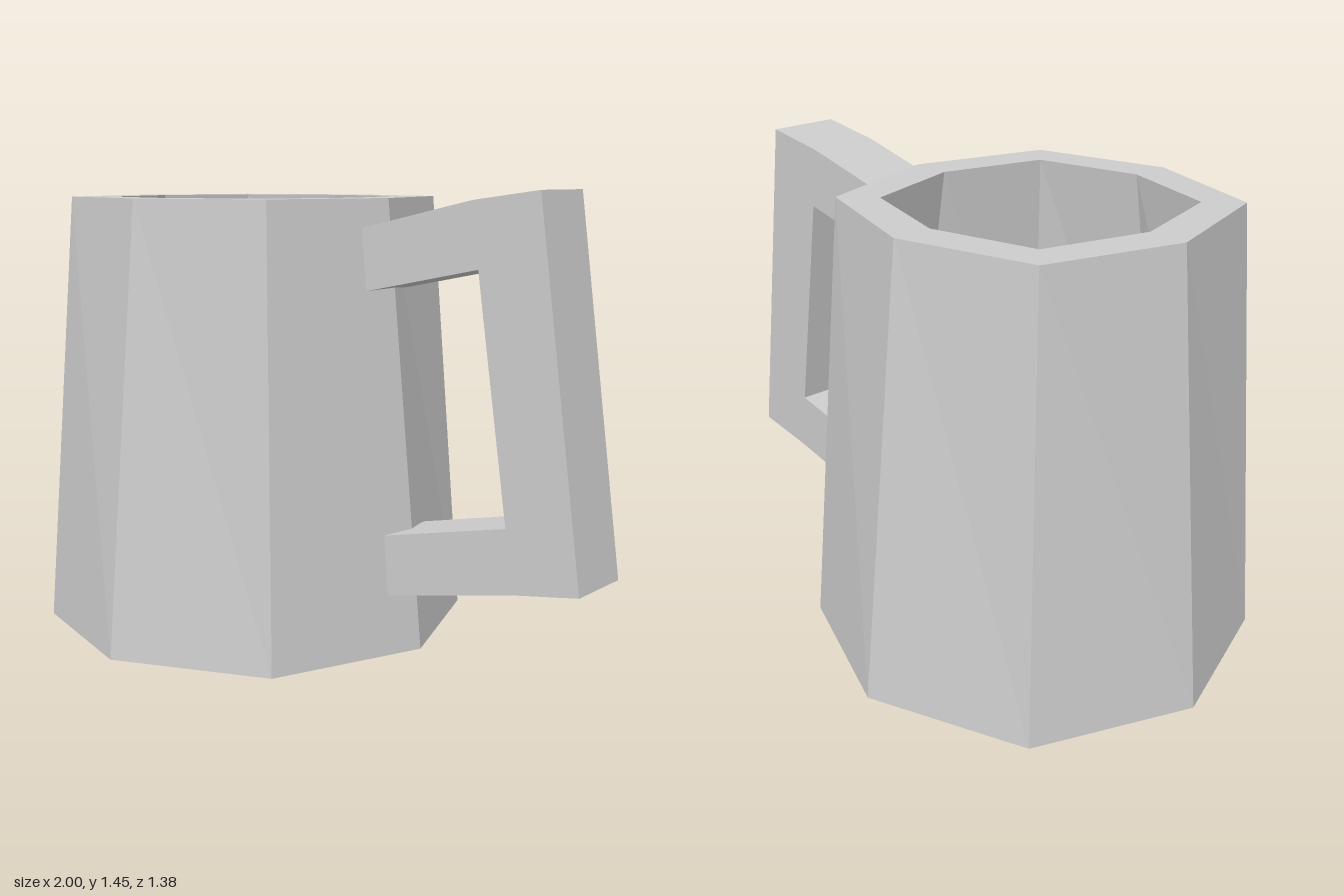
import * as THREE from 'three';

export function createModel() {
  const group = new THREE.Group();
  const material = new THREE.MeshStandardMaterial({ color: 0xcccccc, flatShading: true });
  const points = (list) => list.map(([x, y]) => new THREE.Vector2(x, y));

  // Eight-sided tapered cup: base, outer wall, rim, flared inner wall, floor
  const profile = points([[0, 0], [0.692, 0], [0.552, 1.42], [0.424, 1.42], [0.65, 0.06], [0, 0.06]]);
  // Radius of the four diagonal corners at each profile point
  const diagonalRadii = [0, 0.707, 0.601, 0.469, 0.64, 0];
  const cupGeometry = new THREE.LatheGeometry(profile, 8);
  const position = cupGeometry.attributes.position;
  for (let corner = 1; corner < 8; corner += 2) {
    const angle = (corner * Math.PI) / 4;
    diagonalRadii.forEach((radius, row) => {
      const i = corner * profile.length + row;
      position.setX(i, radius * Math.sin(angle));
      position.setZ(i, radius * Math.cos(angle));
    });
  }
  cupGeometry.computeVertexNormals();
  const cup = new THREE.Mesh(cupGeometry, material);
  cup.name = 'cup';
  cup.position.x = -0.308;
  group.add(cup);

  // Angular C-shaped handle, its ends set into the corner of the cup
  const outline = points([
    [0.325, 0.19], [0.78, 0.28], [1.0, 0.313], [0.843, 1.45], [0.62, 1.42],
    [0.215, 1.33], [0.232, 1.138], [0.643, 1.222], [0.753, 0.475], [0.305, 0.38],
  ]);
  const handle = new THREE.Mesh(
    new THREE.ExtrudeGeometry(new THREE.Shape(outline), { depth: 0.235, bevelEnabled: false }),
    material,
  );
  handle.name = 'handle';
  handle.position.z = -0.13;
  group.add(handle);

  return group;
}
